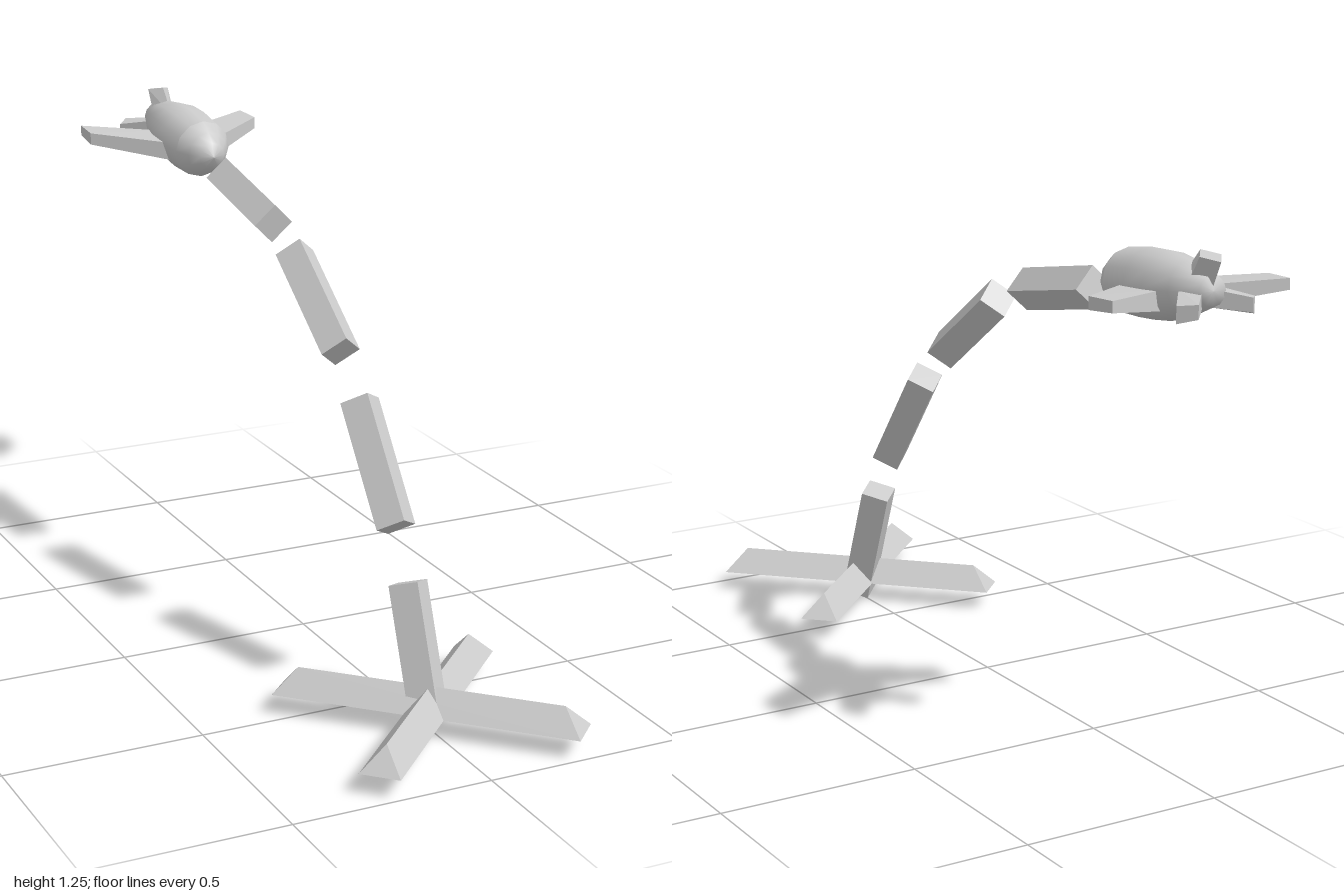
import * as THREE from 'three';
import { ConvexGeometry } from 'three/addons/geometries/ConvexGeometry.js';

const flat = new THREE.MeshStandardMaterial({ color: 0xcccccc, flatShading: true });
const smooth = new THREE.MeshStandardMaterial({ color: 0xcccccc });

// Flat-faced convex solid from a few corner points
function solid(name, corners) {
  const points = corners.map(([x, y, z]) => new THREE.Vector3(x, y, z));
  const mesh = new THREE.Mesh(new ConvexGeometry(points), flat);
  mesh.name = name;
  return mesh;
}

export function createModel() {
  const model = new THREE.Group();
  model.name = 'flyingCraftOnTrail';

  // Cross base: two ridged prisms with sloping ends
  const base = new THREE.Group();
  base.name = 'crossBase';
  base.position.set(0, 0.053, 0.697);
  for (const angle of [Math.PI / 4, -Math.PI / 4]) {
    const arm = solid('baseArm', [
      [-0.38, 0, -0.05], [-0.38, 0, 0.05], [0.38, 0, -0.05], [0.38, 0, 0.05],
      [-0.33, 0.06, 0], [0.33, 0.06, 0],
    ]);
    arm.rotation.y = angle;
    base.add(arm);
  }
  model.add(base);

  // Trail: square bars set on edge along an arc, as [z, y] start and end
  const bars = [
    [0.7, 0.022, 0.58, 0.334],
    [0.516, 0.452, 0.318, 0.711],
    [0.214, 0.805, -0.051, 0.992],
    [-0.176, 1.037, -0.484, 1.096],
  ];
  for (const [z0, y0, z1, y1] of bars) {
    const length = Math.hypot(z1 - z0, y1 - y0);
    const geometry = new THREE.BoxGeometry(0.0735, 0.0735, length).rotateZ(Math.PI / 4);
    const bar = new THREE.Mesh(geometry, flat);
    bar.name = 'trailBar';
    bar.position.set(0, (y0 + y1) / 2, (z0 + z1) / 2);
    bar.rotation.x = Math.atan2(y1 - y0, z0 - z1);
    model.add(bar);
  }

  // Craft body: turned hull and separate nose, tail slightly raised
  const craft = new THREE.Group();
  craft.name = 'craft';
  const body = new THREE.Group();
  body.name = 'fuselage';
  body.position.set(0, 1.139, -0.63);
  body.rotation.x = 0.1;
  const profiles = {
    hull: [[0, -0.325], [0.036, -0.32], [0.064, -0.24], [0.08, -0.16], [0.083, -0.09], [0.077, 0]],
    nose: [[0.077, 0], [0.057, 0.037], [0.035, 0.065], [0, 0.08]],
  };
  for (const [name, profile] of Object.entries(profiles)) {
    const points = profile.map(([r, y]) => new THREE.Vector2(r, y));
    const geometry = new THREE.LatheGeometry(points, 12).rotateX(Math.PI / 2);
    const part = new THREE.Mesh(geometry, smooth);
    part.name = name;
    body.add(part);
  }
  craft.add(body);

  // Swept wings and small tail planes, mirrored
  for (const s of [1, -1]) {
    craft.add(solid('wing', [
      [s * 0.03, 1.095, -0.668], [s * 0.03, 1.145, -0.668],
      [s * 0.03, 1.105, -0.815], [s * 0.03, 1.155, -0.815],
      [s * 0.243, 1.134, -0.828], [s * 0.243, 1.165, -0.828],
      [s * 0.238, 1.142, -0.914], [s * 0.238, 1.169, -0.914],
    ]));
    craft.add(solid('tailPlane', [
      [s * 0.045, 1.125, -0.885], [s * 0.045, 1.17, -0.885],
      [s * 0.005, 1.13, -0.92], [s * 0.005, 1.172, -0.92],
      [s * 0.105, 1.112, -0.962], [s * 0.105, 1.152, -0.962],
      [s * 0.073, 1.125, -1.0], [s * 0.073, 1.158, -1.0],
    ]));
  }

  // Upright fin with a diamond section, leaning back
  craft.add(solid('tailFin', [
    [0, 1.19, -0.84], [0.03, 1.17, -0.89], [-0.03, 1.17, -0.89], [0, 1.16, -0.94],
    [0, 1.256, -0.9], [0.029, 1.248, -0.938], [-0.029, 1.248, -0.938], [0, 1.24, -0.978],
  ]));
  model.add(craft);

  return model;
}
